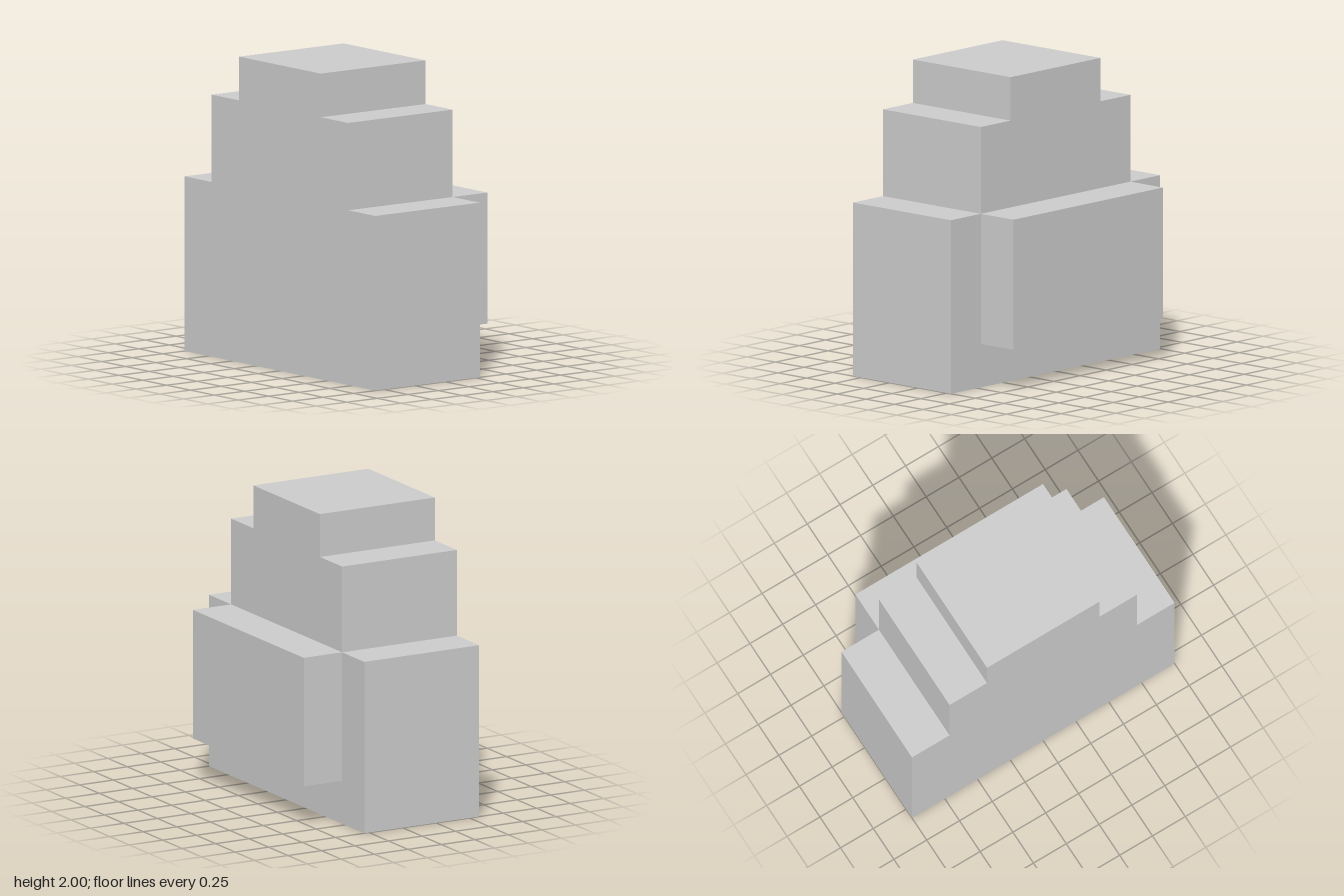
import * as THREE from 'three';

// The model sits on a regular grid: 14 cells make 2 units
const U = 1 / 7;

export function createModel() {
  const model = new THREE.Group();
  const material = new THREE.MeshStandardMaterial({ color: 0xcccccc, flatShading: true });

  // Stepped body: half outline on the right, mirrored to the left
  const half = [[7, 0], [7, 8], [5, 8], [5, 12], [3, 12], [3, 14]];
  const mirrored = half.map(([x, y]) => [-x, y]).reverse();
  const outline = [...half, ...mirrored].map(([x, y]) => new THREE.Vector2(x * U, y * U));
  const bodyGeometry = new THREE.ExtrudeGeometry(new THREE.Shape(outline), {
    depth: 6 * U,
    bevelEnabled: false,
  });
  const body = new THREE.Mesh(bodyGeometry, material);
  body.name = 'steppedBody';
  body.position.z = -2 * U;
  model.add(body);

  // Raised panel on the back
  const panel = new THREE.Mesh(new THREE.BoxGeometry(10 * U, 6 * U, 2 * U), material);
  panel.name = 'backPanel';
  panel.position.set(0, 5 * U, -3 * U);
  model.add(panel);

  return model;
}
